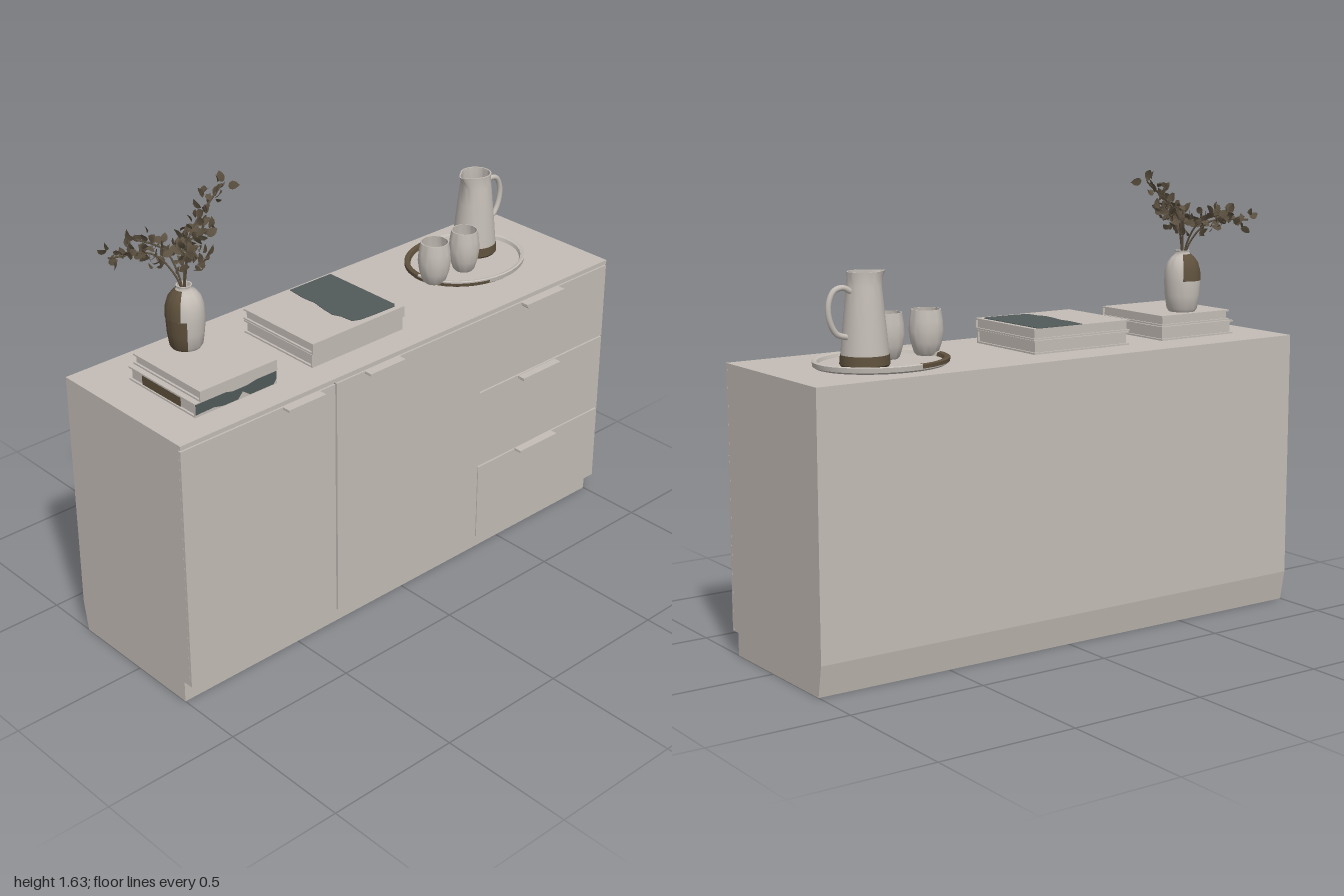
import * as THREE from 'three';
import { mergeGeometries, toCreasedNormals } from 'three/addons/utils/BufferGeometryUtils.js';

const mat = (name, color, side = THREE.FrontSide) => {
  const m = new THREE.MeshStandardMaterial({ color, side });
  m.name = name;
  return m;
};

export function createModel() {
  const root = new THREE.Group();
  root.name = 'sideboard';
  const greige = mat('greige', 0xc4bdb6);
  const ceramic = mat('ceramic', 0xc4bdb6, THREE.DoubleSide);
  const slate = mat('slate', 0x515a5a);
  const brown = mat('brown', 0x5e503c, THREE.DoubleSide);
  const leafBrown = mat('leaf brown', 0x5b5040, THREE.DoubleSide);
  const gap = mat('shadow gap', 0x4a4642);

  const add = (name, geo, material, parent = root) => {
    const m = new THREE.Mesh(geo, material);
    m.name = name;
    parent.add(m);
    return m;
  };
  // Box given by its minimum and maximum corners
  const box = (name, material, x0, x1, y0, y1, z0, z1, parent = root) => {
    const m = add(name, new THREE.BoxGeometry(x1 - x0, y1 - y0, z1 - z0), material, parent);
    m.position.set((x0 + x1) / 2, (y0 + y1) / 2, (z0 + z1) / 2);
    return m;
  };
  const shapeOf = (pts) => new THREE.Shape(pts.map(([x, y]) => new THREE.Vector2(x, y)));
  const lathe = (name, pts, material, parent, from = 0, length = Math.PI * 2) => {
    const geo = new THREE.LatheGeometry(pts.map(([r, y]) => new THREE.Vector2(r, y)), 36, from, length);
    return add(name, toCreasedNormals(geo, 0.7), material, parent);
  };

  // Cabinet carcass: side profile with toe recess and tapered back foot
  const profile = shapeOf([[0.32, 0.11], [0.32, 1.01], [-0.29, 1.01], [-0.29, 0.994],
    [-0.28, 0.994], [-0.28, 0.08], [-0.25, 0.08], [-0.25, 0], [0.3, 0]]);
  const carcass = new THREE.ExtrudeGeometry(profile, { depth: 2, bevelEnabled: false });
  carcass.rotateY(Math.PI / 2).translate(-1, 0, 0);
  add('carcass', carcass, greige);
  box('gapBacking', gap, -0.995, 0.995, 0.082, 0.994, 0.279, 0.281);

  // Doors and drawer fronts: x0, x1, y0, y1
  [['leftDoor', -1, -0.354, 0.08, 0.989], ['middleDoor', -0.346, 0.343, 0.08, 0.989],
    ['topDrawer', 0.343, 1, 0.698, 0.989], ['middleDrawer', 0.343, 1, 0.386, 0.692],
    ['bottomDrawer', 0.347, 1, 0.08, 0.38]]
    .forEach(([name, x0, x1, y0, y1]) => box(name, greige, x0, x1, y0, y1, 0.2805, 0.29));

  // Edge pulls with tapered undersides
  [[-0.5, 0.08, 0.985], [-0.14, 0.08, 0.985], [0.64, 0.098, 0.985], [0.64, 0.098, 0.686], [0.64, 0.098, 0.379]]
    .forEach(([x, w, y]) => {
      const s = shapeOf([[-w, 0.004], [-w, -0.005], [-w + 0.015, -0.017], [w - 0.015, -0.017], [w, -0.005], [w, 0.004]]);
      const h = add('handle', new THREE.ExtrudeGeometry(s, { depth: 0.035, bevelEnabled: false }), greige);
      h.position.set(x, y, 0.285);
    });

  // Books: two covers, a spine at the front and a recessed page block
  const book = (name, x0, x1, y0, y1, z0, z1) => {
    const g = new THREE.Group();
    g.name = name;
    root.add(g);
    const t = 0.006;
    box('lowerCover', greige, x0, x1, y0, y0 + t, z0, z1, g);
    box('upperCover', greige, x0, x1, y1 - t, y1, z0, z1, g);
    box('spine', greige, x0, x1, y0 + t, y1 - t, z1 - t, z1, g);
    box('pages', greige, x0 + 0.008, x1 - 0.008, y0 + t, y1 - t, z0 + 0.008, z1 - t, g);
  };
  book('leftLowerBook', -0.855, -0.515, 1.01, 1.06, -0.165, 0.183);
  book('leftUpperBook', -0.835, -0.515, 1.062, 1.1, -0.165, 0.187);
  book('middleLowerBook', -0.36, 0.055, 1.01, 1.058, -0.17, 0.183);
  book('middleUpperBook', -0.36, 0.06, 1.06, 1.1, -0.172, 0.187);

  // Ragged slate patch on the middle book
  const patch = shapeOf([[-0.15, 0.171], [-0.157, 0.09], [-0.152, 0.04], [-0.163, -0.02], [-0.168, -0.07],
    [-0.155, -0.1], [-0.15, -0.15], [-0.12, -0.162], [-0.06, -0.166], [0.03, -0.168], [0.043, -0.155], [0.04, 0.171]]);
  const patchGeo = new THREE.ExtrudeGeometry(patch, { depth: 0.002, bevelEnabled: false });
  add('bookPatch', patchGeo.rotateX(-Math.PI / 2).translate(0, 1.1, 0), slate);

  // Slate patches on the lower spine, brown patch on its end
  const spinePatch = shapeOf([[-0.853, 1.02], [-0.78, 1.022], [-0.74, 1.013], [-0.68, 1.013], [-0.66, 1.035],
    [-0.63, 1.013], [-0.53, 1.013], [-0.517, 1.03], [-0.517, 1.057], [-0.6, 1.057], [-0.64, 1.05],
    [-0.7, 1.05], [-0.73, 1.057], [-0.853, 1.057]]);
  add('spinePatch', new THREE.ExtrudeGeometry(spinePatch, { depth: 0.002, bevelEnabled: false }), slate).position.z = 0.183;
  box('bookEndPatch', brown, -0.85, -0.846, 1.016, 1.054, -0.1, 0.1);

  // Vase with brown glaze on its back and right
  const vase = new THREE.Group();
  vase.name = 'vase';
  vase.position.set(-0.67, 1.1, -0.09);
  root.add(vase);
  lathe('vaseBody', [[0, 0], [0.048, 0], [0.056, 0.012], [0.063, 0.06], [0.066, 0.11], [0.064, 0.15], [0.055, 0.18],
    [0.04, 0.2], [0.028, 0.21], [0.025, 0.218], [0.027, 0.224], [0.022, 0.224], [0.02, 0.2], [0, 0.19]], ceramic, vase);
  lathe('upperGlaze', [[0.0675, 0.115], [0.0655, 0.15], [0.0565, 0.181], [0.0415, 0.201], [0.03, 0.211]],
    brown, vase, 2.5, 2.9);
  lathe('lowerGlaze', [[0.0515, 0.002], [0.0575, 0.012], [0.0645, 0.06], [0.0675, 0.115]], brown, vase, 4.3, 1.4);

  // Branches, twigs and leaves
  let seed = 7;
  const rnd = () => (seed = (seed * 16807) % 2147483647) / 2147483647;
  const spread = (s) => (rnd() - 0.5) * 2 * s;
  const leafShape = new THREE.Shape();
  leafShape.moveTo(0, 0);
  leafShape.bezierCurveTo(0.016, 0.006, 0.018, 0.026, 0, 0.036);
  leafShape.bezierCurveTo(-0.018, 0.026, -0.016, 0.006, 0, 0);
  const leafBase = new THREE.ShapeGeometry(leafShape, 4);
  const lp = leafBase.attributes.position;
  for (let i = 0; i < lp.count; i++) lp.setZ(i, Math.abs(lp.getX(i)) * 0.4 - lp.getY(i) ** 2 * 5);
  leafBase.computeVertexNormals();
  const stems = [], leaves = [];
  const q = new THREE.Quaternion(), pos = new THREE.Vector3(), unit = new THREE.Vector3(1, 1, 1);
  // Each branch: middle point, tip, leaf count
  [[[-0.6, 1.46, -0.14], [-0.435, 1.585, -0.17], 44], [[-0.74, 1.43, -0.16], [-0.87, 1.435, -0.22], 38],
    [[-0.67, 1.44, -0.05], [-0.65, 1.43, 0.0], 30], [[-0.69, 1.43, -0.16], [-0.77, 1.47, -0.24], 26],
    [[-0.64, 1.44, -0.12], [-0.55, 1.48, -0.1], 28]].forEach(([mid, tip, n]) => {
    const curve = new THREE.CatmullRomCurve3([new THREE.Vector3(-0.67, 1.28, -0.09),
      new THREE.Vector3(-0.67 + (mid[0] + 0.67) * 0.3, 1.36, -0.09 + (mid[2] + 0.09) * 0.3),
      new THREE.Vector3(...mid), new THREE.Vector3(...tip)]);
    stems.push(new THREE.TubeGeometry(curve, 14, 0.0035, 5));
    for (let i = 0; i < n; i++) {
      curve.getPoint(0.52 + 0.48 * (i + 0.5) / n, pos);
      pos.add(new THREE.Vector3(spread(0.032), spread(0.03), spread(0.03)));
      q.setFromEuler(new THREE.Euler(spread(1.4), rnd() * 6.28, spread(1.9)));
      unit.setScalar(0.75 + rnd() * 0.4);
      leaves.push(leafBase.clone().applyMatrix4(new THREE.Matrix4().compose(pos, q, unit)));
    }
  });
  add('stems', mergeGeometries(stems), leafBrown);
  add('leaves', mergeGeometries(leaves), leafBrown);

  // Oval tray with raised rim, part of it brown
  const tray = new THREE.Group();
  tray.name = 'tray';
  tray.position.set(0.6, 1.01, -0.052);
  tray.scale.set(1.2, 1, 1);
  root.add(tray);
  lathe('trayBody', [[0, 0], [0.19, 0], [0.198, 0.006], [0.2, 0.022], [0.196, 0.025], [0.186, 0.022],
    [0.182, 0.01], [0, 0.01]], ceramic, tray);
  lathe('brownRim', [[0.201, 0.01], [0.2015, 0.023], [0.196, 0.0265], [0.185, 0.0235], [0.181, 0.011]],
    brown, tray, 3.3, 1.4);
  lathe('brownSkirt', [[0.191, 0.001], [0.1995, 0.006], [0.2012, 0.018]], brown, tray, 4.6, 1.4);

  // Cups
  [[0.388, 1.0], [0.54, 0.94]].forEach(([x, s]) => {
    const cup = lathe('cup', [[0, 0], [0.034, 0], [0.042, 0.008], [0.054, 0.045], [0.06, 0.085], [0.057, 0.12],
      [0.051, 0.157], [0.047, 0.157], [0.052, 0.12], [0.055, 0.085], [0.045, 0.03], [0, 0.015]], ceramic, root);
    cup.position.set(x, 1.02, 0);
    cup.scale.set(s, 1, s);
  });

  // Jug: tapered body, spout pulled towards -x, loop handle
  const jug = new THREE.Group();
  jug.name = 'jug';
  jug.position.set(0.685, 1.02, -0.09);
  root.add(jug);
  const body = lathe('jugBody', [[0, 0], [0.078, 0], [0.083, 0.008], [0.08, 0.045], [0.073, 0.12], [0.065, 0.2],
    [0.058, 0.265], [0.055, 0.29], [0.056, 0.312], [0.051, 0.312], [0.05, 0.28], [0.068, 0.1], [0.07, 0.02], [0, 0.015]],
  ceramic, jug);
  const bp = body.geometry.attributes.position;
  for (let i = 0; i < bp.count; i++) {
    const x = bp.getX(i), z = bp.getZ(i), lift = Math.max(0, (bp.getY(i) - 0.26) / 0.052);
    const toSpout = Math.max(0, -x / (Math.hypot(x, z) || 1)) ** 8;
    bp.setX(i, x - 0.024 * lift * toSpout);
  }
  body.geometry = toCreasedNormals(body.geometry, 0.7);
  lathe('jugBand', [[0.0795, 0.001], [0.0845, 0.008], [0.0815, 0.04]], brown, jug);
  const loop = new THREE.CatmullRomCurve3([[0.055, 0.25], [0.085, 0.264], [0.118, 0.255], [0.138, 0.215],
    [0.135, 0.16], [0.11, 0.115], [0.068, 0.1]].map(([x, y]) => new THREE.Vector3(x, y, -0.008)));
  add('jugHandle', new THREE.TubeGeometry(loop, 32, 0.01, 10), ceramic, jug);

  return root;
}
